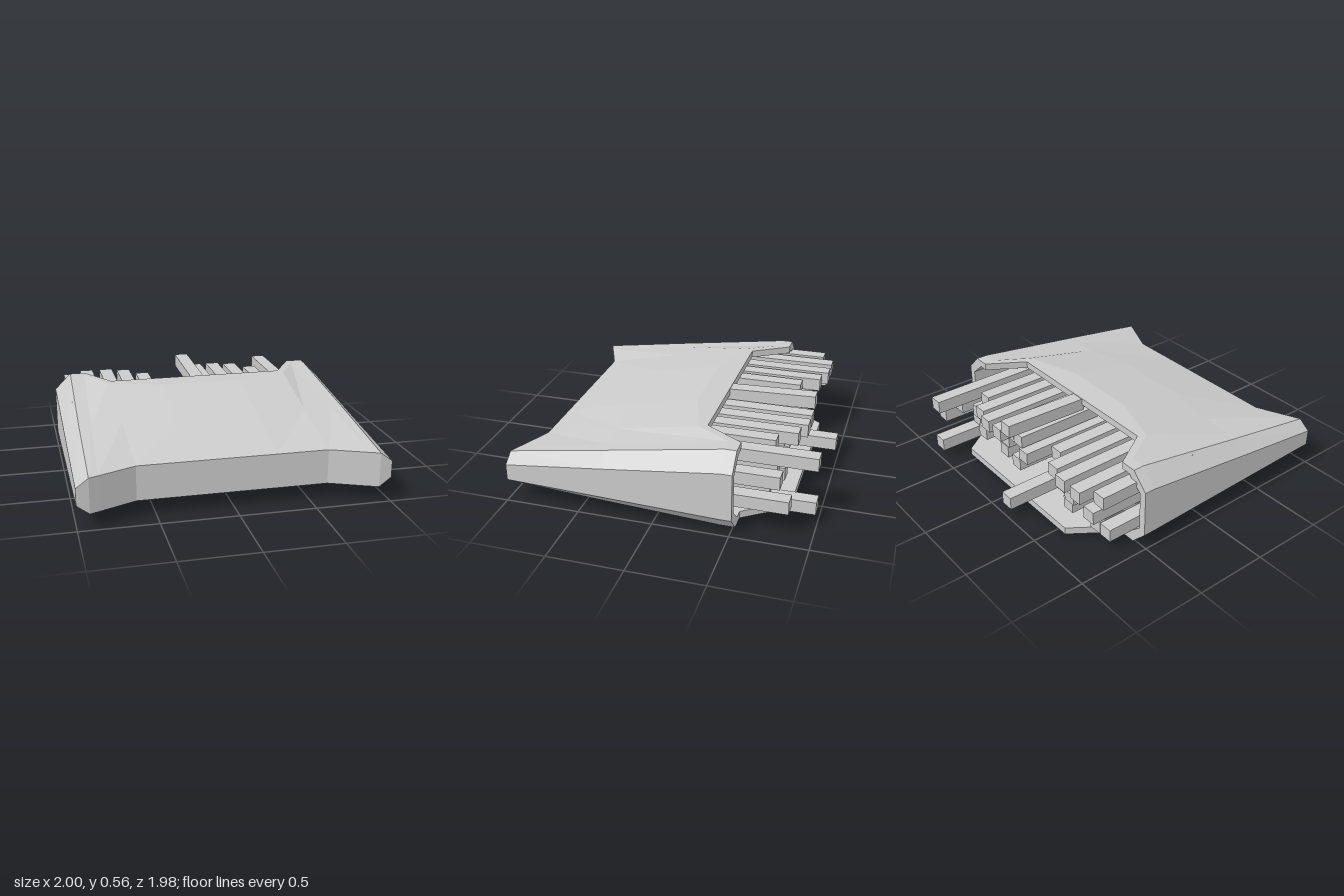
import * as THREE from 'three';

// Right half of the carton outline, from top centre round to bottom centre:
// [front edge], [mid panel], [fold], [back rim], each as x, y, z
const HALF = [
  [[0.28, 0.33, 0.855], [0.28, 0.45, 0.40], [0.28, 0.55, -0.09], [0.28, 0.55, -0.26]],
  [[0.62, 0.33, 0.855], [0.63, 0.44, 0.34], [0.65, 0.55, -0.21], [0.62, 0.55, -0.26]],
  [[0.86, 0.33, 0.96], [0.83, 0.43, 0.34], [0.79, 0.55, -0.44], [0.78, 0.55, -0.515]],
  [[0.92, 0.33, 0.985], [0.91, 0.43, 0.34], [0.89, 0.55, -0.44], [0.89, 0.55, -0.515]],
  [[1, 0.27, 0.985], [1, 0.345, 0.34], [1, 0.44, -0.44], [1, 0.44, -0.515]],
  [[1, 0.16, 0.985], [1, 0.14, 0.34], [1, 0.115, -0.44], [1, 0.115, -0.515]],
  [[0.92, 0.10, 0.985], [0.91, 0.055, 0.34], [0.89, 0, -0.42], [0.89, 0, -0.515]],
  [[0.86, 0.10, 0.96], [0.83, 0.055, 0.34], [0.79, 0, -0.42], [0.78, 0, -0.515]],
  [[0.62, 0.10, 0.855], [0.62, 0.055, 0.34], [0.6, 0, -0.42], [0.57, 0, -0.81]],
  [[0.28, 0.10, 0.855], [0.28, 0.055, 0.34], [0.28, 0, -0.42], [0.28, 0, -0.81]],
];

function cartonGeometry() {
  const mirrored = HALF.map(c => c.map(([x, y, z]) => [-x, y, z])).reverse();
  const columns = [...HALF, ...mirrored];
  const n = columns.length;
  // wall thickness: side columns move inwards, all columns move up or down
  const inset = ([x, y, z], dz) =>
    [Math.abs(x) > 0.84 ? x * 0.95 : x, 0.275 + (y - 0.275) * 0.82, z - dz];

  // outer skin from front to rim, then the inner skin back to the front
  const rings = [0, 1, 2, 3].map(s => columns.map(c => c[s]));
  for (const s of [3, 2, 1, 0]) {
    rings.push(columns.map(c => inset(c[s], s === 0 ? 0.06 : 0)));
  }
  const pos = rings.flat(2);
  const index = [];
  const quad = (a, b, c, d) => index.push(a, b, c, a, c, d);
  for (let s = 0; s < rings.length - 1; s++) {
    for (let i = 0; i < n; i++) {
      const j = (i + 1) % n;
      quad(s * n + i, s * n + j, (s + 1) * n + j, (s + 1) * n + i);
    }
  }
  // closed front end, outside and inside
  const last = (rings.length - 1) * n;
  for (let k = -5; k < 4; k++) {
    const top = (k + n) % n, next = (k + 1 + n) % n;
    const low = 9 - k, lowNext = 8 - k;
    quad(top, low, lowNext, next);
    quad(last + next, last + lowNext, last + low, last + top);
  }
  const geo = new THREE.BufferGeometry();
  geo.setAttribute('position', new THREE.Float32BufferAttribute(pos, 3));
  geo.setIndex(index);
  const flat = geo.toNonIndexed();
  flat.computeVertexNormals();
  return flat;
}

// Stick layers: height, inner end, tilt, then [x, outer end z]
const LAYERS = [
  { y: 0.51, start: -0.24, tilt: 0.03, sticks: [[0.01, -0.85]] },
  { y: 0.432, start: -0.05, tilt: 0, sticks: [[-0.87, -0.77], [-0.74, -0.85], [-0.59, -0.85],
    [-0.46, -0.81], [-0.33, -0.69], [0.12, -0.85], [0.26, -0.85], [0.39, -0.81], [0.52, -0.69], [0.68, -0.99]] },
  { y: 0.31, start: 0.3, tilt: 0, sticks: [[-0.82, -0.81], [-0.67, -0.64], [-0.53, -0.74], [-0.29, -0.6],
    [0.12, -0.69], [0.22, -0.69], [0.45, -0.74], [0.6, -0.72], [0.76, -0.77]] },
  { y: 0.215, start: 0.3, tilt: 0, sticks: [[-0.73, -0.69], [-0.5, -0.72], [-0.38, -0.69],
    [0.05, -0.7], [0.3, -0.68], [0.48, -0.75], [0.66, -0.69], [0.87, -0.85]] },
  { y: 0.12, start: 0.3, tilt: 0, sticks: [[-0.83, -0.69], [-0.73, -0.69], [-0.46, -0.7],
    [-0.18, -0.99], [0.14, -0.7], [0.32, -0.68], [0.68, -0.99]] },
];

export function createModel() {
  const group = new THREE.Group();
  group.name = 'cartonOfSticks';
  const material = new THREE.MeshStandardMaterial({ color: 0xcccccc, flatShading: true });

  const carton = new THREE.Mesh(cartonGeometry(), material);
  carton.name = 'carton';
  group.add(carton);

  // square sticks poking out of the open end
  const sticks = new THREE.Group();
  sticks.name = 'sticks';
  for (const { y, start, tilt, sticks: list } of LAYERS) {
    for (const [x, end] of list) {
      const stick = new THREE.Mesh(new THREE.BoxGeometry(0.095, 0.088, start - end), material);
      stick.position.set(x, y, (start + end) / 2);
      stick.rotation.x = tilt;
      stick.name = 'stick';
      sticks.add(stick);
    }
  }
  group.add(sticks);
  return group;
}
